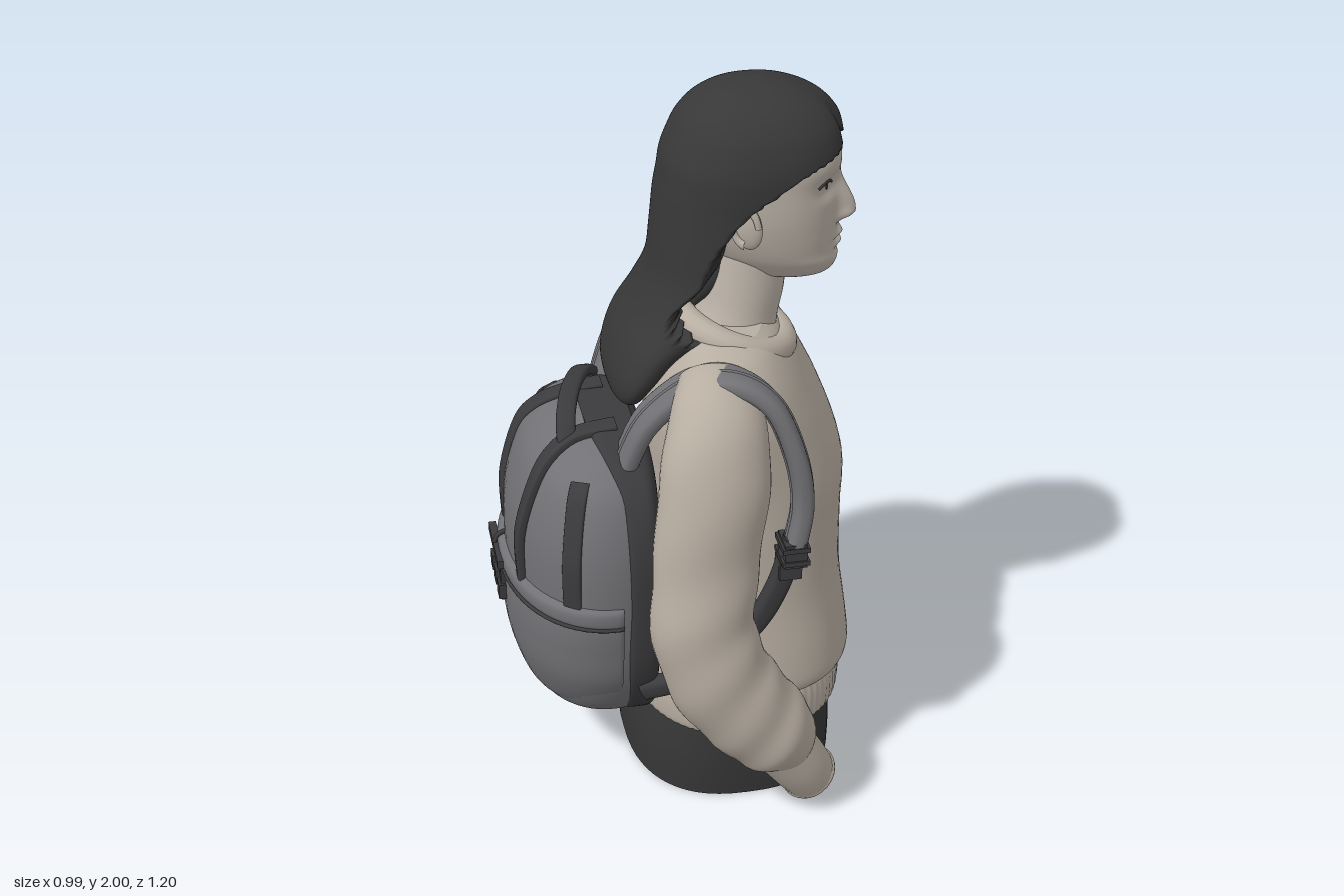
import * as THREE from 'three';

const mat = (name, color, side = THREE.FrontSide) => {
  const m = new THREE.MeshStandardMaterial({ color, side });
  m.name = name;
  return m;
};
const spow = (v, e) => Math.sign(v) * Math.abs(v) ** e;
const bump = (d, w) => Math.exp(-(d * d) / (w * w));

// Catmull-Rom interpolation of every column in a table of sections
function sample(rows, u) {
  const f = u * (rows.length - 1), i = Math.min(Math.floor(f), rows.length - 2), t = f - i;
  const at = k => rows[Math.max(0, Math.min(rows.length - 1, k))];
  return rows[0].map((_, c) => {
    const a = at(i - 1)[c], b = at(i)[c], d = at(i + 1)[c], e = at(i + 2)[c];
    return b + 0.5 * t * (d - a + t * (2 * a - 5 * b + 4 * d - e + t * (3 * (b - d) + e - a)));
  });
}

// Closed skin over rings of points, with flat end caps
function skin(rings) {
  const n = rings[0].length, pos = [], idx = [];
  rings.forEach(r => r.forEach(p => pos.push(p.x, p.y, p.z)));
  for (let i = 0; i < rings.length - 1; i++) for (let j = 0; j < n; j++) {
    const k = (j + 1) % n, a = i * n + j, b = i * n + k;
    idx.push(a, a + n, b, b, a + n, b + n);
  }
  [rings[0], rings[rings.length - 1]].forEach((ring, e) => {
    const base = pos.length / 3, c = new THREE.Vector3();
    ring.forEach(p => { pos.push(p.x, p.y, p.z); c.addScaledVector(p, 1 / n); });
    pos.push(c.x, c.y, c.z);
    for (let j = 0; j < n; j++) {
      const k = (j + 1) % n;
      if (e) idx.push(base + n, base + k, base + j); else idx.push(base + n, base + j, base + k);
    }
  });
  const g = new THREE.BufferGeometry();
  g.setAttribute('position', new THREE.Float32BufferAttribute(pos, 3));
  g.setIndex(idx);
  g.computeVertexNormals();
  return g;
}

// Upright loft; each section is [y, xBack, xFront, halfDepth, zCentre, extra]
function loft(rows, { p = 2.3, n = 60, steps = 36, fn } = {}) {
  const rings = [];
  for (let i = 0; i <= steps; i++) {
    const r = sample(rows, i / steps), [y, xb, xf, rz, zc = 0] = r, ring = [];
    for (let j = 0; j < n; j++) {
      const a = j / n * Math.PI * 2;
      const v = new THREE.Vector3((xb + xf) / 2 + (xf - xb) / 2 * spow(Math.cos(a), 2 / p), y, zc + rz * spow(Math.sin(a), 2 / p));
      if (fn) fn(v, a, r);
      ring.push(v);
    }
    rings.push(ring);
  }
  return skin(rings);
}

// Sweep along a path; each station is [x, y, z, halfWidth, halfThickness]
function sweep(rows, { p = 2, n = 28, steps = 36, ref = [0, 0, 1], folds = 0 } = {}) {
  const rings = [], at = u => new THREE.Vector3(...sample(rows, u).slice(0, 3));
  for (let i = 0; i <= steps; i++) {
    const u = i / steps, [x, y, z, w, h] = sample(rows, u);
    const t = at(Math.min(1, u + 0.01)).sub(at(Math.max(0, u - 0.01))).normalize();
    const s = new THREE.Vector3(...ref).addScaledVector(t, -t.dot(new THREE.Vector3(...ref))).normalize();
    const o = s.clone().cross(t), ring = [];
    for (let j = 0; j < n; j++) {
      const a = j / n * Math.PI * 2, k = 1 + folds * Math.sin(46 * u + 2 * Math.sin(a)) * Math.min(1, u * 2);
      ring.push(new THREE.Vector3(x, y, z).addScaledVector(s, k * w * spow(Math.cos(a), 2 / p)).addScaledVector(o, k * h * spow(Math.sin(a), 2 / p)));
    }
    rings.push(ring);
  }
  return skin(rings);
}

export function createModel() {
  const model = new THREE.Group();
  const knit = mat('knit', 0xb8aea2, THREE.DoubleSide), flesh = mat('skin', 0xbdb4a9), hairMat = mat('hair', 0x383838);
  const cloth = mat('trousers', 0x363637), pack = mat('packFabric', 0x727276), trim = mat('darkTrim', 0x3b3b3d);
  const add = (name, geo, m, parent = model) => {
    const mesh = new THREE.Mesh(geo, m);
    mesh.name = name;
    parent.add(mesh);
    return mesh;
  };
  const box = (name, m, size, at) => add(name, new THREE.BoxGeometry(...size), m).position.set(...at);

  // Trousers and sweater, shoulders turned slightly
  add('trousers', loft([[0, -0.145, 0.445, 0.365, -0.005], [0.12, -0.14, 0.445, 0.37, -0.005], [0.27, -0.11, 0.43, 0.36, 0]], { p: 2.5, steps: 8 }), cloth);
  const twist = v => { v.x -= 0.14 * v.z * THREE.MathUtils.smoothstep(v.y, 0.3, 1.2); };
  add('sweaterBody', loft([
    [0.33, -0.12, 0.45, 0.37], [0.36, -0.14, 0.49, 0.39], [0.45, -0.125, 0.485, 0.385], [0.62, -0.1, 0.465, 0.365],
    [0.8, -0.09, 0.467, 0.36], [0.94, -0.08, 0.47, 0.36], [1.08, -0.08, 0.42, 0.37], [1.18, -0.07, 0.37, 0.37],
    [1.26, -0.04, 0.325, 0.335], [1.32, 0, 0.28, 0.275], [1.35, 0.03, 0.24, 0.21]], { p: 2.4, n: 80, steps: 48, fn: twist }), knit);
  add('sweaterHem', loft([[0.215, -0.12, 0.455, 0.368], [0.23, -0.13, 0.465, 0.376], [0.3, -0.132, 0.467, 0.378], [0.35, -0.12, 0.455, 0.37]], {
    p: 2.4, n: 300, steps: 8, fn: (v, a) => { const k = 1 + 0.004 * Math.cos(75 * a); v.x = 0.165 + (v.x - 0.165) * k; v.z *= k; } }), knit);
  const collarPath = [];
  for (let i = 0; i < 24; i++) {
    const a = i / 24 * Math.PI * 2;
    collarPath.push(new THREE.Vector3(0.155 + 0.14 * Math.cos(a), 1.32 - 0.05 * Math.cos(a), 0.18 * Math.sin(a)));
  }
  add('collar', new THREE.TubeGeometry(new THREE.CatmullRomCurve3(collarPath, true), 80, 0.04, 14, true), knit);

  // Sleeves with open cuffs; the left one hangs further forward
  const sleeve = [
    [0.06, 1.28, 0.24, 0.07, 0.09], [0.05, 1.22, 0.34, 0.1, 0.125], [0.03, 1.08, 0.415, 0.105, 0.145], [0, 0.85, 0.455, 0.097, 0.14],
    [-0.01, 0.66, 0.475, 0.11, 0.138], [0.04, 0.5, 0.48, 0.118, 0.14], [0.12, 0.38, 0.475, 0.12, 0.135],
    [0.19, 0.29, 0.465, 0.118, 0.122], [0.235, 0.225, 0.452, 0.082, 0.085]];
  const cuff = [[0.2, 0.26, 0.46, 0.09, 0.09], [0.26, 0.17, 0.442, 0.087, 0.085], [0.302, 0.1, 0.42, 0.082, 0.078]];
  const forward = [0.1, 0.11, 0.13, 0.15, 0.16, 0.14, 0.1, 0.07, 0.05];
  for (const [side, label] of [[1, 'right'], [-1, 'left']]) {
    const shift = i => side < 0 ? forward[i] : 0, end = shift(8);
    const place = (rows, dx) => rows.map(([x, y, z, w, h], i) => [x + dx(i), y, z * side, w, h]);
    add(label + 'Sleeve', sweep(place(sleeve, shift), { folds: 0.025, n: 40, steps: 60 }), knit);
    add(label + 'Cuff', sweep(place(cuff, () => end), { steps: 16 }), knit);
    const rim = add(label + 'CuffRim', new THREE.TorusGeometry(0.066, 0.016, 10, 32), knit);
    rim.position.set(0.305 + end, 0.096, 0.419 * side);
    rim.lookAt(0.35 + end, 0.026, 0.399 * side);
  }

  // Neck and head, the head turned a little to its right
  const yaw = THREE.MathUtils.degToRad(17);
  add('neck', sweep([[0.16, 1.27, -0.01, 0.13, 0.125], [0.18, 1.36, -0.01, 0.113, 0.108], [0.195, 1.44, -0.01, 0.107, 0.108], [0.205, 1.56, -0.01, 0.1, 0.1]], { steps: 16 }), flesh);
  const head = new THREE.Group();
  head.name = 'head';
  head.position.set(0.2, 0, -0.02);
  head.rotation.y = -yaw;
  model.add(head);
  const face = loft([
    [1.46, 0.03, 0.16, 0.045], [1.48, -0.04, 0.222, 0.085], [1.515, -0.08, 0.243, 0.112], [1.55, -0.11, 0.238, 0.13], [1.6, -0.14, 0.24, 0.146],
    [1.66, -0.15, 0.24, 0.158], [1.74, -0.16, 0.24, 0.165], [1.8, -0.16, 0.243, 0.165], [1.86, -0.14, 0.215, 0.15], [1.92, -0.08, 0.14, 0.1], [1.95, -0.02, 0.05, 0.03]], {
    p: 2.25, n: 116, steps: 90, fn: v => {
      if (v.x < 0) return;
      const { y, z } = v, az = Math.abs(z);
      const ridge = THREE.MathUtils.smoothstep(1.77 - y, 0, 0.125) * THREE.MathUtils.smoothstep(y, 1.612, 1.638);
      v.x += 0.045 * ridge * bump(z, 0.02 + 0.012 * ridge)
        + 0.012 * bump(y - 1.635, 0.015) * bump(az - 0.028, 0.014)
        - 0.024 * bump(y - 1.735, 0.026) * bump(az - 0.075, 0.04)
        + 0.012 * bump(y - 1.737, 0.014) * bump(az - 0.078, 0.028)
        + 0.014 * bump(y - 1.582, 0.01) * bump(z, 0.036) + 0.013 * bump(y - 1.556, 0.011) * bump(z, 0.032)
        - 0.007 * bump(y - 1.569, 0.005) * bump(z, 0.045) - 0.006 * bump(y - 1.533, 0.012) * bump(z, 0.04);
    } });
  add('face', face, flesh, head);
  for (const s of [1, -1]) {
    const lash = new THREE.CatmullRomCurve3([[0.22, 1.738, 0.045], [0.214, 1.75, 0.07], [0.201, 1.748, 0.098], [0.189, 1.74, 0.112]].map(([x, y, z]) => new THREE.Vector3(x, y, z * s)));
    add('eyelash', new THREE.TubeGeometry(lash, 16, 0.005, 6), hairMat, head);
    const iris = add('iris', new THREE.SphereGeometry(0.01, 16, 10), trim, head);
    iris.position.set(0.209, 1.737, 0.075 * s);
    iris.scale.set(0.4, 1, 1);
  }
  const ear = add('ear', new THREE.SphereGeometry(0.06, 24, 16), flesh, head);
  ear.scale.set(0.7, 1.1, 0.3);
  ear.position.set(0.015, 1.66, 0.177);
  ear.rotation.set(0.1, -0.3, 0.15);
  const earRim = add('earRim', new THREE.TorusGeometry(0.042, 0.01, 8, 28, Math.PI * 1.45), flesh, head);
  earRim.scale.set(0.85, 1.3, 1);
  earRim.position.set(0.012, 1.665, 0.193);
  earRim.rotation.set(0.1, -0.3, 0.1);

  // Long hair, parted at the front, tucked inside the head where the face opens
  add('hair', loft([
    [1.125, -0.15, -0.12, 0.06, -0.05, 0], [1.15, -0.172, -0.09, 0.16, -0.05, 0], [1.21, -0.175, -0.05, 0.21, -0.05, 0], [1.3, -0.148, 0.03, 0.23, -0.05, 20],
    [1.4, -0.1, 0.2, 0.235, -0.04, 95], [1.5, -0.065, 0.34, 0.228, -0.02, 100], [1.6, -0.055, 0.4, 0.225, -0.01, 98],
    [1.7, -0.047, 0.44, 0.224, -0.005, 86], [1.76, -0.038, 0.45, 0.222, 0, 68], [1.81, -0.03, 0.452, 0.22, 0, 46], [1.86, -0.012, 0.447, 0.208, 0, 3],
    [1.905, 0.01, 0.43, 0.188, 0, 0], [1.95, 0.05, 0.385, 0.15, 0, 0], [1.985, 0.11, 0.31, 0.09, 0, 0], [2, 0.18, 0.23, 0.025, 0, 0]], {
    p: 2.3, n: 144, steps: 100, fn: (v, a, [y, xb, xf, , zc, open]) => {
      const cx = (xb + xf) / 2, rel = Math.atan2(v.z - zc, v.x - cx) - yaw;
      const d = Math.abs(Math.atan2(Math.sin(rel), Math.cos(rel)));
      const limit = THREE.MathUtils.degToRad(open) * (Math.sin(rel) > 0 ? 1 : 0.84);
      const k = THREE.MathUtils.clamp((limit - d) / 0.06, 0, 1);
      const part = 0.08 * bump(d, 0.2) * THREE.MathUtils.smoothstep(y, 1.8, 1.86) * (1 - THREE.MathUtils.smoothstep(y, 1.9, 1.99));
      const scale = (1 - part) * (1 - 0.68 * k);
      v.x = cx + (v.x - cx) * scale;
      v.z = zc + (v.z - zc) * scale;
    } }), hairMat);

  // Backpack body, dark panel against the wearer, lower pocket and its band
  const zc = -0.035, cutAt = x => v => { v.x = Math.min(v.x, x); };
  add('packBody', loft([
    [0.24, -0.38, -0.04, 0.22, zc], [0.27, -0.41, -0.01, 0.29, zc], [0.4, -0.445, 0.02, 0.355, zc], [0.6, -0.462, 0.04, 0.385, zc], [0.8, -0.46, 0.04, 0.385, zc],
    [0.95, -0.42, 0, 0.345, zc], [1.02, -0.37, -0.04, 0.28, zc], [1.06, -0.3, -0.1, 0.19, zc], [1.073, -0.23, -0.16, 0.06, zc]], { p: 2.1, fn: cutAt(-0.1) }), pack);
  add('packBackPanel', loft([
    [0.25, -0.2, -0.09, 0.24, zc], [0.28, -0.21, -0.08, 0.3, zc], [0.45, -0.21, -0.08, 0.375, zc], [0.65, -0.21, -0.08, 0.393, zc], [0.82, -0.21, -0.08, 0.39, zc],
    [0.96, -0.22, -0.08, 0.345, zc], [1.04, -0.24, -0.09, 0.265, zc], [1.08, -0.25, -0.12, 0.15, zc]], { p: 4 }), trim);
  const pocket = { p: 2.1, fn: cutAt(-0.2) };
  add('packPocket', loft([
    [0.245, -0.38, -0.04, 0.2, zc], [0.28, -0.425, 0, 0.285, zc], [0.4, -0.465, 0.04, 0.36, zc], [0.52, -0.478, 0.05, 0.385, zc], [0.61, -0.474, 0.05, 0.393, zc], [0.625, -0.46, 0.04, 0.38, zc]], pocket), pack);
  add('pocketBand', loft([[0.61, -0.468, 0.04, 0.39, zc], [0.62, -0.483, 0.05, 0.4, zc], [0.655, -0.483, 0.05, 0.4, zc], [0.67, -0.462, 0.04, 0.388, zc]], { ...pocket, steps: 12 }), pack);
  add('pocketPiping', loft([[0.6, -0.47, 0.04, 0.39, zc], [0.604, -0.485, 0.055, 0.4, zc], [0.612, -0.485, 0.055, 0.4, zc], [0.616, -0.47, 0.04, 0.39, zc]], { ...pocket, steps: 8 }), trim);
  for (const s of [1, -1]) {
    const z = zc + 0.16 * s, top = zc + 0.12 * s;
    add('packStripe', sweep([[-0.443, 0.66, z], [-0.443, 0.8, z], [-0.4, 0.95, z], [-0.352, 1.02, (z + top) / 2], [-0.28, 1.062, top], [-0.17, 1.08, top]].map(r => [...r, 0.03, 0.013]), { p: 4 }), trim);
    add('packSideStripe', sweep([[-0.33, 0.66, 0.344], [-0.33, 0.8, 0.344], [-0.31, 0.95, 0.308], [-0.29, 1.0, 0.268]].map(([x, y, dz]) => [x, y, zc + dz * s, 0.027, 0.009]), { p: 4, ref: [0.8, 0, 0.6 * s] }), trim);
  }
  add('packHandle', sweep([[-0.17, 1.04, -0.26], [-0.215, 1.1, -0.2], [-0.265, 1.115, -0.08], [-0.3, 1.09, 0.05], [-0.305, 1.02, 0.12]].map(r => [...r, 0.026, 0.015]), { p: 3, ref: [1, 0, 0] }), trim);

  // Clasps at the back of the pocket
  for (const z of [-0.15, -0.075, 0]) {
    box('claspStrap', trim, [0.02, 0.12, 0.03], [-0.479, 0.57, z]);
    box('claspBlock', trim, [0.025, 0.045, 0.045], [-0.484, 0.54, z]);
  }
  box('claspBar', trim, [0.022, 0.025, 0.21], [-0.487, 0.635, -0.075]);
  add('claspLoop', new THREE.TorusGeometry(0.035, 0.007, 8, 20), trim).position.set(-0.458, 0.645, -0.075);

  // Padded shoulder straps, buckles and lower webbing
  const straps = [
    ['right', [[-0.17, 1.0, 0.18], [-0.11, 1.16, 0.215], [0, 1.28, 0.265], [0.1, 1.308, 0.32], [0.19, 1.25, 0.36], [0.248, 1.11, 0.385], [0.265, 0.98, 0.405], [0.245, 0.86, 0.415]],
      [[0.245, 0.88, 0.415], [0.205, 0.72, 0.4], [0.14, 0.58, 0.375], [0, 0.43, 0.35], [-0.14, 0.36, 0.3]]],
    ['left', [[-0.17, 1.0, -0.25], [-0.1, 1.17, -0.29], [0.03, 1.29, -0.315], [0.15, 1.318, -0.325], [0.27, 1.25, -0.335], [0.335, 1.11, -0.345], [0.35, 0.98, -0.355], [0.335, 0.86, -0.365]],
      [[0.335, 0.88, -0.365], [0.295, 0.72, -0.37], [0.23, 0.58, -0.37], [0.06, 0.43, -0.37], [-0.14, 0.36, -0.34]]]];
  for (const [label, pad, web] of straps) {
    add(label + 'ShoulderStrap', sweep(pad.map((r, i) => [...r, i < 6 ? 0.06 : 0.045, 0.028]), { p: 2.8, steps: 56 }), pack);
    add(label + 'StrapSeam', sweep(pad.map(r => [...r, 0.012, 0.032]), { n: 12, steps: 56 }), pack);
    add(label + 'Webbing', sweep(web.map(r => [...r, 0.026, 0.03]), { p: 3 }), trim);
    const [x, , z] = web[0];
    box(label + 'Buckle', trim, [0.06, 0.07, 0.085], [x - 0.005, 0.845, z]);
    box(label + 'BuckleTongue', trim, [0.06, 0.055, 0.06], [x - 0.015, 0.795, z]);
    for (const y of [0.865, 0.825]) box(label + 'BuckleRib', trim, [0.074, 0.014, 0.094], [x - 0.005, y, z]);
  }
  return model;
}
